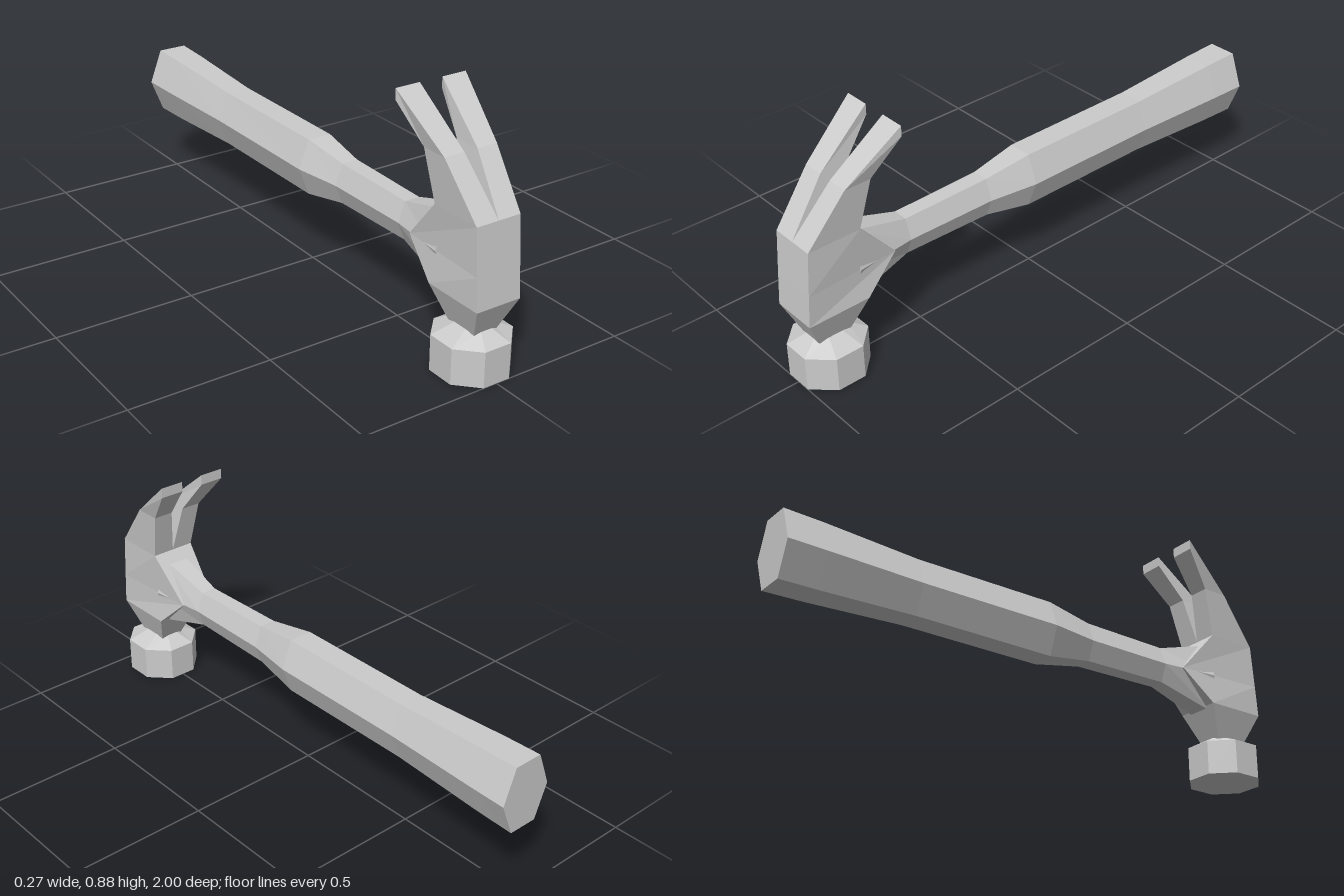
import * as THREE from 'three';

const material = new THREE.MeshStandardMaterial({ color: 0xcccccc, flatShading: true });

// Skin a list of equal-length rings (counter-clockwise about the loft direction) and cap both ends.
function loft(name, rings) {
  const pos = [];
  const tri = (a, b, c) => pos.push(...a, ...b, ...c);
  const n = rings[0].length;
  for (let i = 0; i < rings.length - 1; i++) {
    for (let j = 0; j < n; j++) {
      const k = (j + 1) % n, r = rings[i], s = rings[i + 1];
      tri(r[j], r[k], s[k]);
      tri(r[j], s[k], s[j]);
    }
  }
  const first = rings[0], last = rings[rings.length - 1];
  for (let j = 1; j < n - 1; j++) {
    tri(first[0], first[j + 1], first[j]);
    tri(last[0], last[j], last[j + 1]);
  }
  const geometry = new THREE.BufferGeometry();
  geometry.setAttribute('position', new THREE.Float32BufferAttribute(pos, 3));
  geometry.computeVertexNormals();
  const mesh = new THREE.Mesh(geometry, material);
  mesh.name = name;
  return mesh;
}

// Octagon in a horizontal plane, flat sides facing the axes.
function octagon(y, halfX, halfZ) {
  return Array.from({ length: 8 }, (_, i) => {
    const a = (i + 0.5) * Math.PI / 4, k = 1 / Math.cos(Math.PI / 8);
    return [Math.sin(a) * halfX * k, y, 0.875 + Math.cos(a) * halfZ * k];
  });
}

// Hexagon across the handle: corners at the sides, flats at top and bottom.
function hexagon([z, halfX, bottom, top]) {
  const mid = 0.38, h = halfX * 0.53;
  return [[halfX, mid, z], [h, top, z], [-h, top, z], [-halfX, mid, z], [-h, bottom, z], [h, bottom, z]];
}

export function createModel() {
  const group = new THREE.Group();
  group.name = 'clawHammer';

  // Striking face with bevelled shoulder
  group.add(loft('strikingFace', [
    octagon(0, 0.122, 0.125), octagon(0.125, 0.122, 0.125), octagon(0.158, 0.05, 0.065),
  ]));

  // Head body: y, front half width, front z, back half width, back z
  group.add(loft('headBody', [
    [0.15, 0.045, 0.937, 0.045, 0.813],
    [0.265, 0.084, 0.99, 0.084, 0.76],
    [0.38, 0.084, 0.982, 0.066, 0.635],
    [0.54, 0.084, 0.97, 0.084, 0.775],
  ].map(([y, f, zf, b, zb]) => [[-f, y, zf], [f, y, zf], [b, y, zb], [-b, y, zb]])));

  // Claws: inner x, outer x, front y, front z, back y, back z
  const claw = [
    [0, 0.084, 0.54, 0.97, 0.54, 0.775],
    [0.025, 0.1, 0.715, 0.832, 0.715, 0.735],
    [0.043, 0.134, 0.877, 0.635, 0.84, 0.635],
  ];
  for (const s of [1, -1]) {
    const rings = claw.map(([a, b, yf, zf, yb, zb]) => {
      const ring = [[s * a, yf, zf], [s * b, yf, zf], [s * b, yb, zb], [s * a, yb, zb]];
      return s > 0 ? ring : ring.reverse();
    });
    group.add(loft(s > 0 ? 'leftClaw' : 'rightClaw', rings));
  }

  // Handle: z, half width, bottom, top
  group.add(loft('handle', [
    [-1, 0.1, 0.26, 0.504],
    [-0.86, 0.097, 0.263, 0.5],
    [-0.5, 0.084, 0.278, 0.482],
    [0.04, 0.083, 0.278, 0.482],
    [0.22, 0.057, 0.31, 0.455],
    [0.56, 0.053, 0.315, 0.45],
    [0.78, 0.078, 0.252, 0.513],
  ].map(hexagon)));

  return group;
}
